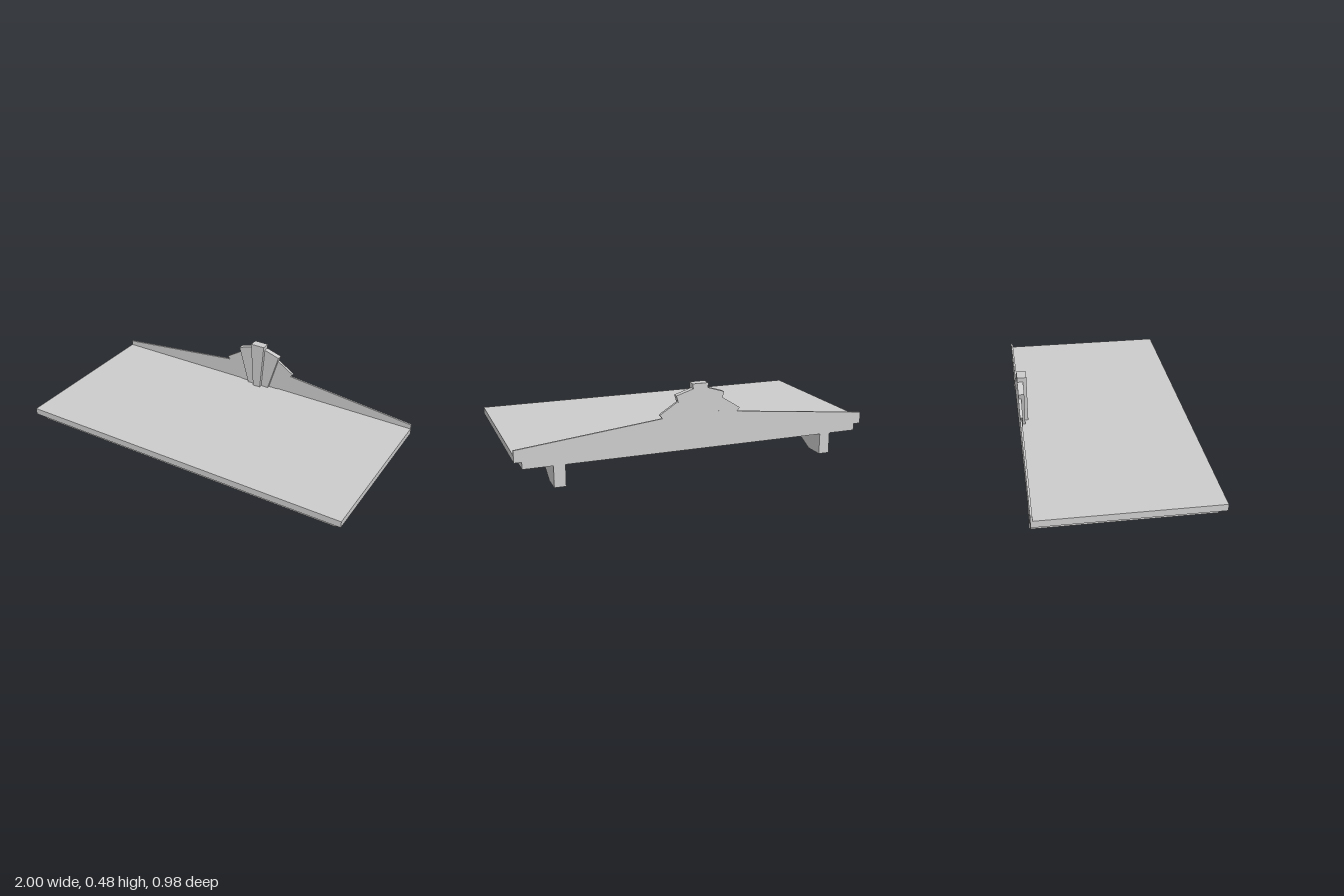
import * as THREE from 'three';

const BACK = -0.488, FRONT = 0.488;
const material = new THREE.MeshStandardMaterial({ color: 0xcccccc, flatShading: true });

function add(parent, name, geometry) {
  const mesh = new THREE.Mesh(geometry, material);
  mesh.name = name;
  parent.add(mesh);
  return mesh;
}

// Box given by its limits in y and z, centred on x
function board(parent, name, halfWidth, y0, y1, z0, z1) {
  const mesh = add(parent, name, new THREE.BoxGeometry(halfWidth * 2, y1 - y0, z1 - z0));
  mesh.position.set(0, (y0 + y1) / 2, (z0 + z1) / 2);
}

function extrude(points, depth) {
  const shape = new THREE.Shape(points.map(([x, y]) => new THREE.Vector2(x, y)));
  return new THREE.ExtrudeGeometry(shape, { depth, bevelEnabled: false });
}

const mirrorX = (points) => points.map(([x, y]) => [-x, y]).reverse();

export function createModel() {
  const group = new THREE.Group();
  group.name = 'shelf';
  const top = 0.194;

  // Stepped shelf: wide top board over a slightly smaller one
  board(group, 'topBoard', 1, 0.156, top, BACK, FRONT);
  board(group, 'lowerBoard', 0.96, 0.118, 0.156, BACK, 0.453);

  // Thin gabled back panel
  const panel = [[-1, top], [1, top], [1, 0.221], [0.215, 0.305], [-0.215, 0.305], [-1, 0.221]];
  add(group, 'backPanel', extrude(panel, 0.011)).position.z = BACK;

  // Fan crest: keystone and wedges stepping down in height and depth
  const keystone = [[-0.024, top], [0.024, top], [0.044, 0.478], [-0.044, 0.478]];
  add(group, 'keystone', extrude(keystone, 0.053)).position.z = BACK;
  const wedges = [
    ['innerWedge', [[0.024, top], [0.07, top], [0.137, 0.421], [0.042, 0.451]], 0.033],
    ['outerWedge', [[0.07, top], [0.13, top], [0.23, 0.325], [0.128, 0.39]], 0.016],
  ];
  for (const [name, points, depth] of wedges) {
    add(group, name + 'Left', extrude(points, depth)).position.z = BACK;
    add(group, name + 'Right', extrude(mirrorX(points), depth)).position.z = BACK;
  }

  // Curved support brackets, profile in (z, y)
  const profile = [
    [BACK, 0], [-0.372, 0], [-0.245, 0.06], [-0.115, 0.087],
    [0, 0.1], [0.12, 0.104], [0.2, 0.106], [0.2, 0.118], [BACK, 0.118],
  ];
  const width = 0.062;
  for (const [name, x] of [['leftBracket', 0.77], ['rightBracket', -0.77]]) {
    const bracket = add(group, name, extrude(profile, width));
    bracket.rotation.y = -Math.PI / 2;
    bracket.position.x = x + width / 2;
  }
  return group;
}
